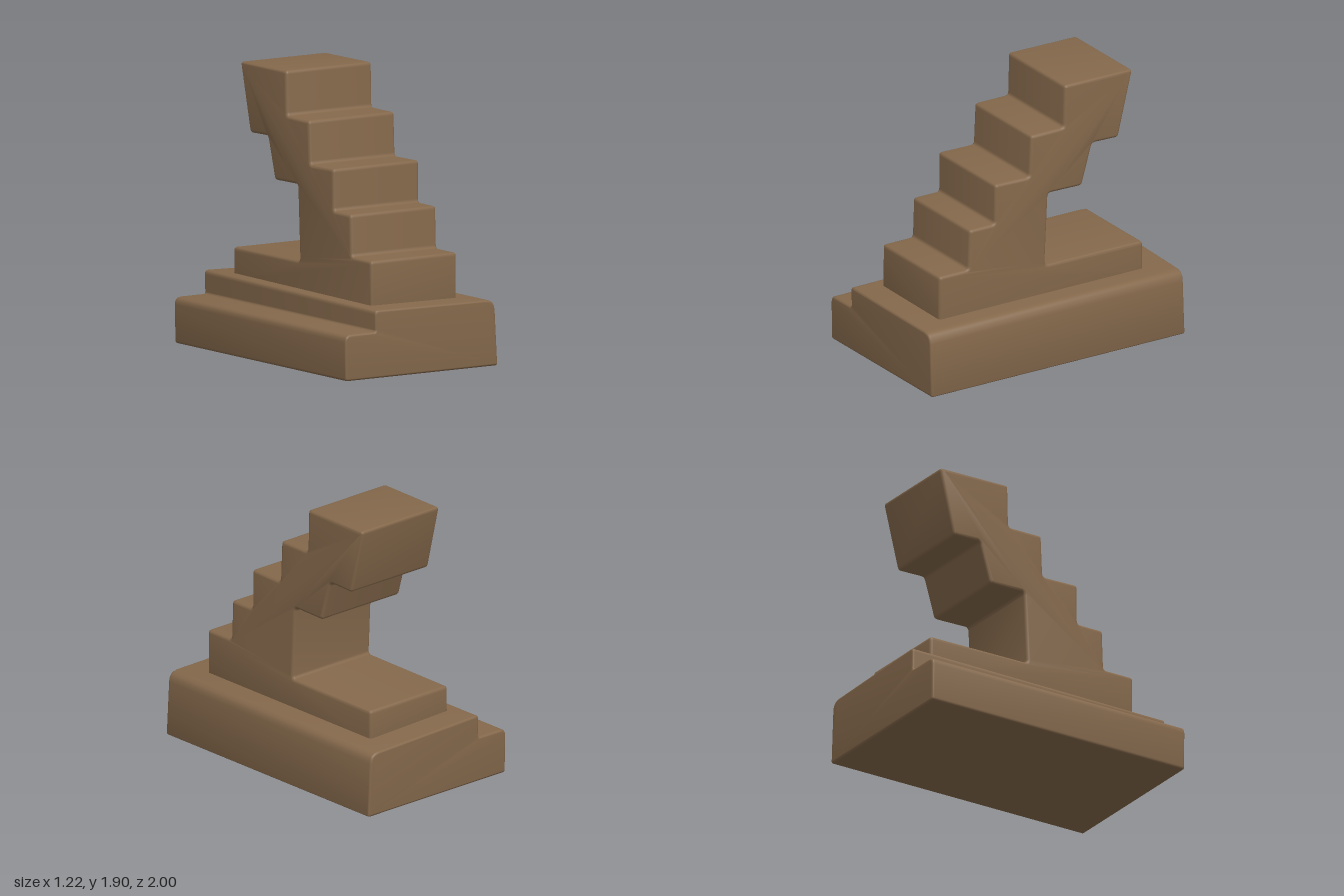
import * as THREE from 'three';
import { toCreasedNormals } from 'three/addons/utils/BufferGeometryUtils.js';

// Closed outline from [x, y, cornerRadius] points, corners softened with curves
function softShape(points) {
  const shape = new THREE.Shape();
  const n = points.length;
  points.forEach(([x, y, r], i) => {
    const p = new THREE.Vector2(x, y);
    const toward = ([qx, qy]) => new THREE.Vector2(qx, qy).sub(p).setLength(r).add(p);
    const a = toward(points[(i + n - 1) % n]);
    const b = toward(points[(i + 1) % n]);
    if (i === 0) shape.moveTo(a.x, a.y);
    else shape.lineTo(a.x, a.y);
    shape.quadraticCurveTo(x, y, b.x, b.y);
  });
  shape.closePath();
  return shape;
}

// Centred extrusion along z with rounded end edges inside the outline
function softExtrude(points, length, bevel) {
  const geometry = new THREE.ExtrudeGeometry(softShape(points), {
    depth: length - 2 * bevel, steps: 1, curveSegments: 4,
    bevelEnabled: true, bevelThickness: bevel, bevelSize: bevel,
    bevelOffset: -bevel, bevelSegments: 4,
  });
  return geometry.translate(0, 0, bevel - length / 2);
}

export function createModel() {
  const model = new THREE.Group();
  const brown = new THREE.MeshStandardMaterial({ color: 0x84684b });
  brown.name = 'brown';

  // Plinth with a low ledge along the -x side and a softened +x shoulder
  const plinthGeometry = softExtrude([
    [-0.61, 0, 0.02], [0.61, 0, 0.02], [0.585, 0.443, 0.07],
    [-0.375, 0.462, 0.03], [-0.37, 0.31, 0.015], [-0.615, 0.31, 0.05],
  ], 2, 0.015);
  // The upper edge beside the ledge rises slightly toward the back
  const pos = plinthGeometry.attributes.position;
  for (let i = 0; i < pos.count; i++) {
    if (pos.getY(i) > 0.4 && pos.getX(i) < 0) pos.setY(i, pos.getY(i) - 0.008 * pos.getZ(i));
  }
  const plinth = new THREE.Mesh(toCreasedNormals(plinthGeometry, 0.6), brown);
  plinth.name = 'plinth';
  model.add(plinth);

  // Overhanging staircase and rear slab, one side outline as [z, y]
  const r = 0.024;
  const outline = [
    [0.812, 0.4], [0.81, 0.75], [0.58, 0.75], [0.57, 1.03], [0.372, 1.03],
    [0.37, 1.31], [0.098, 1.305], [0.085, 1.597], [-0.173, 1.597],
    [-0.18, 1.897], [-0.718, 1.892], [-0.605, 1.43], [-0.4, 1.435],
    [-0.318, 1.15], [-0.052, 1.155], [-0.027, 0.647], [-0.797, 0.642], [-0.8, 0.4],
  ].map(([z, y]) => [z, y, r]);
  const stairGeometry = softExtrude(outline, 0.69, 0.022);
  stairGeometry.rotateY(-Math.PI / 2).translate(0.065, 0, 0);
  const staircase = new THREE.Mesh(toCreasedNormals(stairGeometry, 0.6), brown);
  staircase.name = 'staircase';
  model.add(staircase);

  return model;
}
